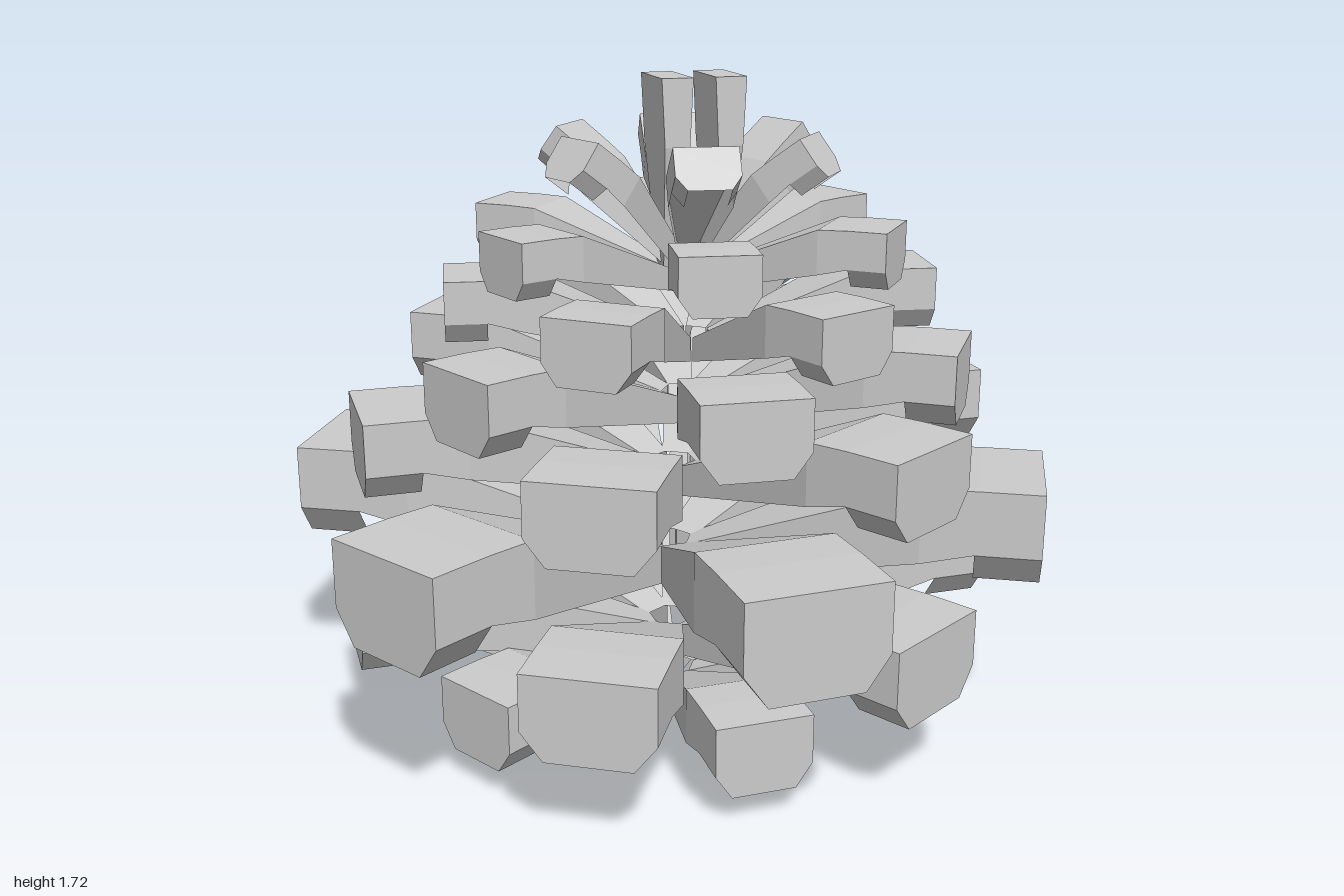
import * as THREE from 'three';

const material = new THREE.MeshStandardMaterial({
  color: 0xcccccc, flatShading: true, side: THREE.DoubleSide,
});
const rad = THREE.MathUtils.degToRad;

// One cone scale growing along +z: a shell open underneath, with a narrow root,
// a raised knee and a deep tip whose lower corners are chamfered.
function scaleGeometry({ length, width, bottom, top, root }) {
  const h = top - bottom;
  const w = width / 2;
  const c = w * 0.66;
  const lip = bottom + h * 0.33;
  const stepZ = length * 0.83;
  const kneeZ = length * 0.69;
  const rootZ = 0.055;
  const kneeLow = THREE.MathUtils.mapLinear(kneeZ, rootZ, stepZ, root, lip);

  // Inverted-U cross-section: right wall, top, left wall
  const arch = (z, half, low, high) => [
    [half, low, z], [half, high, z], [-half, high, z], [-half, low, z],
  ];
  const arches = [
    arch(rootZ, w * 0.25, root, root + h * 0.4),
    arch(kneeZ, w, kneeLow, top - h * 0.02),
    arch(stepZ, w, lip, top),
    arch(length, w, lip, top),
  ];

  const positions = [];
  const tri = (...corners) => corners.forEach((p) => positions.push(...p));
  const quad = (a, b, c2, d) => { tri(a, b, c2); tri(a, c2, d); };
  for (let i = 0; i < arches.length - 1; i++) {
    const a = arches[i], b = arches[i + 1];
    for (let j = 0; j < 3; j++) quad(a[j], a[j + 1], b[j + 1], b[j]);
  }

  // Tip: chamfers below both walls, and the six-sided end face
  const end = arches[3];
  quad([c, bottom, stepZ], [w, lip, stepZ], [w, lip, length], [c, bottom, length]);
  quad([-w, lip, stepZ], [-c, bottom, stepZ], [-c, bottom, length], [-w, lip, length]);
  quad(end[0], end[1], end[2], end[3]);
  quad([-c, bottom, length], [c, bottom, length], end[0], end[3]);

  const geometry = new THREE.BufferGeometry();
  geometry.setAttribute('position', new THREE.Float32BufferAttribute(positions, 3));
  geometry.computeVertexNormals();
  return geometry;
}

// A whorl of six equal scales around the axis, optionally tilted upward.
function whorl(name, spec) {
  const { turn, x = 0, y = 0, tilt = 0 } = spec;
  const group = new THREE.Group();
  group.name = name;
  group.position.set(x, y, 0);
  const geometry = scaleGeometry(spec);
  for (let i = 0; i < 6; i++) {
    const mesh = new THREE.Mesh(geometry, material);
    mesh.name = 'scale';
    mesh.rotation.set(-rad(tilt), rad(turn + i * 60), 0, 'YXZ');
    group.add(mesh);
  }
  return group;
}

// Upright summit scale: a block that narrows toward its foot.
function summitGeometry() {
  const geometry = new THREE.BoxGeometry(0.083, 0.52, 0.18, 1, 3, 1);
  geometry.translate(0, 0.26, 0);
  const p = geometry.attributes.position;
  for (let i = 0; i < p.count; i++) {
    const t = p.getY(i) / 0.52;
    p.setX(i, p.getX(i) * (0.4 + 0.6 * t));
    p.setZ(i, p.getZ(i) * Math.min(1, 0.25 + 1.13 * t));
  }
  geometry.computeVertexNormals();
  return geometry;
}

export function createModel() {
  const cone = new THREE.Group();
  cone.name = 'pineCone';

  // Spreading whorls, from the ground up
  const tiers = [
    { length: 0.73, width: 0.25, bottom: 0.08, top: 0.27, root: 0.0, turn: 0 },
    { length: 0.875, width: 0.33, bottom: 0.24, top: 0.46, root: 0.14, turn: 29.5 },
    { length: 0.997, width: 0.355, bottom: 0.46, top: 0.72, root: 0.36, turn: 1.5, x: -0.01 },
    { length: 0.84, width: 0.31, bottom: 0.71, top: 0.915, root: 0.61, turn: 29.5 },
    { length: 0.74, width: 0.265, bottom: 0.885, top: 1.075, root: 0.81, turn: -5.5, x: 0.035 },
    { length: 0.64, width: 0.23, bottom: 1.06, top: 1.225, root: 0.98, turn: 20, x: 0.045 },
    { length: 0.565, width: 0.195, bottom: 1.225, top: 1.37, root: 1.17, turn: -10, x: 0.035 },
  ];
  tiers.forEach((tier, i) => cone.add(whorl(`scaleTier${i + 1}`, tier)));

  // Crown of scales raised diagonally
  cone.add(whorl('crownScales', {
    length: 0.5, width: 0.16, bottom: 0.005, top: 0.12, root: 0,
    turn: -10, x: 0.037, y: 1.19, tilt: 36.5,
  }));

  // Upright pair at the summit
  const summit = summitGeometry();
  for (const side of [-1, 1]) {
    const mesh = new THREE.Mesh(summit, material);
    mesh.name = 'summitScale';
    mesh.position.set(0.06 + side * 0.071, 1.2, -0.01);
    cone.add(mesh);
  }

  return cone;
}
